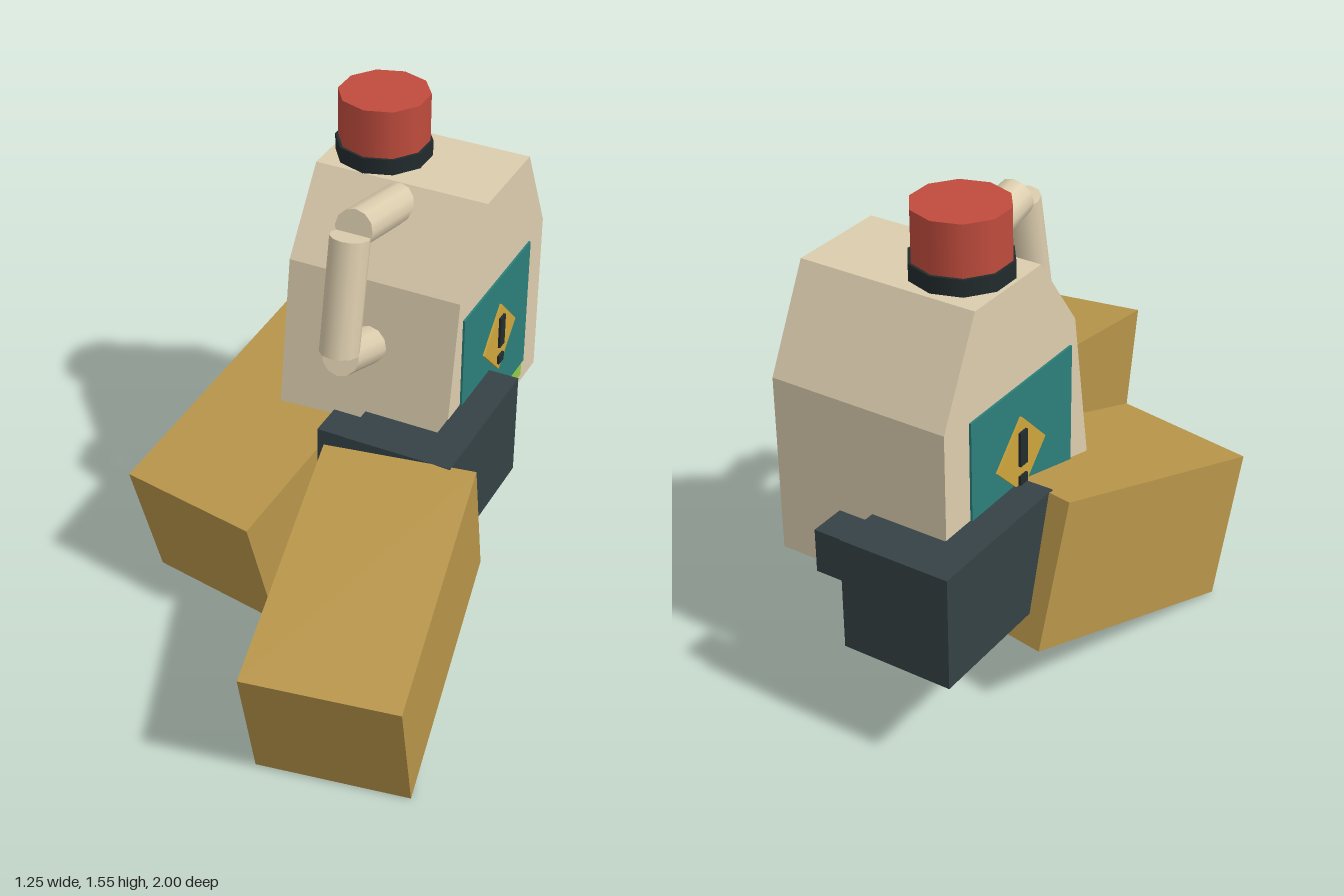
import * as THREE from 'three';

const mat = (name, color) => new THREE.MeshStandardMaterial({ name, color });

export function createModel() {
  const cream = mat('cream', 0xdccdae);
  const ochre = mat('ochre', 0xb8964a);
  const slate = mat('slate', 0x354245);
  const red = mat('red', 0xc04c3d);
  const black = mat('black', 0x222b2d);
  const teal = mat('teal', 0x2c7f7a);
  const green = mat('green', 0x8fcb45);
  const yellow = mat('yellow', 0xcfa63c);

  const model = new THREE.Group();
  const add = (parent, name, geometry, material) => {
    const mesh = new THREE.Mesh(geometry, material);
    mesh.name = name;
    parent.add(mesh);
    return mesh;
  };
  // box given by its lower and upper corners
  const block = (parent, name, a, b, material) => {
    const size = a.map((v, i) => b[i] - v);
    const mesh = add(parent, name, new THREE.BoxGeometry(...size), material);
    mesh.position.set(...a.map((v, i) => (v + b[i]) / 2));
    return mesh;
  };

  // jug: side profile as [z, y], extruded across x
  const profile = [
    [-0.845, 0.455], [-0.845, 1.03], [-0.69, 1.34], [-0.36, 1.34],
    [-0.173, 1.085], [-0.08, 0.51], [-0.2, 0.455],
  ].map(([z, y]) => new THREE.Vector2(-z, y));
  const jugGeometry = new THREE.ExtrudeGeometry(new THREE.Shape(profile), { depth: 0.586, bevelEnabled: false });
  jugGeometry.translate(0, 0, -0.293).rotateY(Math.PI / 2);
  add(model, 'jug', jugGeometry, cream);

  // cap and its collar
  const collar = add(model, 'capCollar', new THREE.CylinderGeometry(0.156, 0.156, 0.055, 10), black);
  collar.position.set(-0.132, 1.365, -0.515);
  const cap = add(model, 'cap', new THREE.CylinderGeometry(0.147, 0.147, 0.162, 10), red);
  cap.position.set(-0.132, 1.472, -0.515);

  // handle: three straight rods in the plane x = 0, ends as [y, z]
  const handle = new THREE.Group();
  handle.name = 'handle';
  model.add(handle);
  const up = new THREE.Vector3(0, 1, 0);
  [
    ['upperRod', [1.275, -0.36], [1.348, -0.035]],
    ['gripRod', [1.337, -0.012], [0.965, 0.062]],
    ['lowerRod', [0.86, -0.17], [0.945, 0.055]],
  ].forEach(([name, p, q]) => {
    const start = new THREE.Vector3(0, ...p);
    const dir = new THREE.Vector3(0, ...q).sub(start);
    const rod = add(handle, name, new THREE.CylinderGeometry(0.0625, 0.0625, dir.length(), 12), cream);
    rod.position.copy(start).addScaledVector(dir, 0.5);
    rod.quaternion.setFromUnitVectors(up, dir.normalize());
  });

  // label with warning sign on both sides of the jug
  for (const [side, s] of [['left', 1], ['right', -1]]) {
    const label = new THREE.Group();
    label.name = side + 'Label';
    model.add(label);
    const plate = (name, z, y, w, h, layer, material) => {
      const mesh = add(label, name, new THREE.BoxGeometry(0.009, h, w), material);
      mesh.position.set(s * (0.2955 + layer * 0.008), y, z);
      return mesh;
    };
    plate('labelPanel', -0.463, 0.775, 0.526, 0.47, 0, teal);
    plate('labelStripe', -0.463, 0.517, 0.486, 0.046, 0, green);
    plate('warningDiamond', -0.481, 0.786, 0.178, 0.178, 1, yellow).rotation.x = Math.PI / 4;
    plate('warningBar', -0.481, 0.811, 0.037, 0.112, 2, black);
    plate('warningDot', -0.481, 0.706, 0.037, 0.03, 2, black);
  }

  // forearms: equal tilted boxes, the left one reaching further forward
  for (const [side, s, z] of [['left', 1, 0.482], ['right', -1, -0.108]]) {
    const arm = add(model, side + 'Forearm', new THREE.BoxGeometry(0.483, 0.475, 0.866), ochre);
    arm.position.set(s * 0.302, 0.347, z);
    arm.rotation.order = 'YXZ';
    arm.rotation.set(THREE.MathUtils.degToRad(15.5), s * THREE.MathUtils.degToRad(10), 0);
  }

  // hands: palm under the jug, outer wall, end wall and thumb;
  // the left hand is the right one turned half round
  for (const [side, x, z, turn] of [['right', -0.222, -0.733, 0], ['left', 0.222, -0.151, Math.PI]]) {
    const hand = new THREE.Group();
    hand.name = side + 'Hand';
    hand.position.set(x, 0, z);
    hand.rotation.y = turn;
    model.add(hand);
    block(hand, 'palm', [-0.18, 0.327, -0.267], [0.18, 0.448, 0.267], slate);
    block(hand, 'outerWall', [-0.18, 0.448, -0.115], [-0.069, 0.692, 0.267], slate);
    block(hand, 'fingers', [-0.18, 0.448, -0.267], [0.18, 0.692, -0.115], slate);
    block(hand, 'thumb', [0.18, 0.54, -0.251], [0.28, 0.68, -0.135], slate);
  }

  return model;
}
